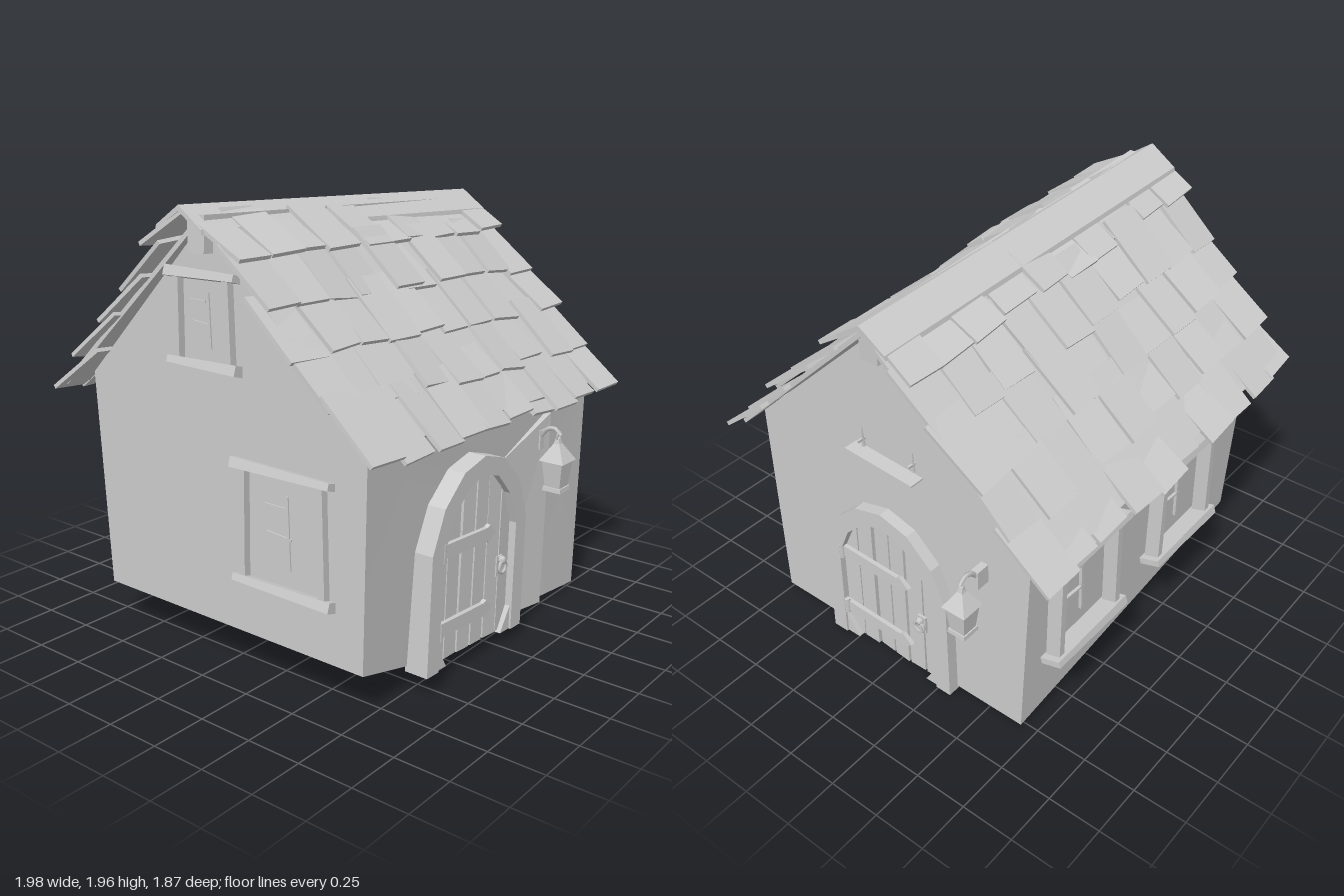
import * as THREE from 'three';
import { mergeVertices } from 'three/addons/utils/BufferGeometryUtils.js';

const stone = new THREE.MeshStandardMaterial({ color: 0xcccccc, side: THREE.DoubleSide });
stone.name = 'plainGrey';

// Small seeded generator: values in -1..1
let seed = 7;
const jitter = () => {
  seed = (seed * 16807) % 2147483647;
  return (seed / 2147483647) * 2 - 1;
};

function add(parent, name, geometry, position = [0, 0, 0], rotation = [0, 0, 0]) {
  const mesh = new THREE.Mesh(geometry, stone);
  mesh.name = name;
  mesh.position.set(...position);
  mesh.rotation.set(...rotation);
  parent.add(mesh);
  return mesh;
}

function group(parent, name, position = [0, 0, 0], rotation = [0, 0, 0]) {
  const g = new THREE.Group();
  g.name = name;
  g.position.set(...position);
  g.rotation.set(...rotation);
  parent.add(g);
  return g;
}

const box = (w, h, d) => new THREE.BoxGeometry(w, h, d);

// Polygons as fans of corners, flat or with blended normals
function polygons(faces, smooth = false) {
  const flat = [];
  for (const f of faces) {
    for (let i = 1; i < f.length - 1; i++) flat.push(...f[0], ...f[i], ...f[i + 1]);
  }
  let g = new THREE.BufferGeometry();
  g.setAttribute('position', new THREE.Float32BufferAttribute(flat, 3));
  if (smooth) g = mergeVertices(g);
  g.computeVertexNormals();
  return g;
}

// Extruded polygon from [x, y] points
function plate(points, depth) {
  const shape = new THREE.Shape(points.map(p => new THREE.Vector2(...p)));
  return new THREE.ExtrudeGeometry(shape, { depth, bevelEnabled: false });
}

function buildWalls(root) {
  const L = -0.88, R = 0.78, ridgeZ = -0.03;
  const base = (x, z) => [x, 0.02 + (R - x) * 0.11, z];
  const top = (x, z, y) => [x, y - x * 0.045, z];
  const fl = base(L, 0.76), fr = base(R, 0.76), bl = base(L, -0.68), br = base(R, -0.68);
  const FL = top(L, 0.78, 1.09), FR = top(R, 0.78, 1.09);
  const BL = top(L, -0.73, 1.14), BR = top(R, -0.73, 1.14);
  const AL = top(L, ridgeZ, 1.85), AR = top(R, ridgeZ, 1.85);
  // Front wall sags around the door, with a fold beside it and a hollow behind the planks
  const doorL = [-0.52, 0.1, 0.74], doorR = [0.1, 0.06, 0.74];
  const archL = [-0.45, 0.8, 0.76], archR = [0.05, 0.8, 0.75];
  const foldBase = [0.42, 0.05, 0.79], foldTop = [0.43, 0.97, 0.8];
  const stepBase = [0.45, 0.05, 0.755], stepTop = [0.45, 0.97, 0.765];
  const inner = base(0.14, 0.17);
  add(root, 'frontWall', polygons([
    [fl, doorL, archL, FL], [FL, archL, archR, stepTop], [FL, stepTop, FR],
    [stepBase, fr, FR, stepTop],
  ], true));
  add(root, 'doorHollow', polygons([
    [doorL, inner, archL], [inner, archR, archL], [inner, doorR, archR],
  ]));
  add(root, 'frontWallFold', polygons([
    [doorR, foldBase, foldTop, archR], [foldBase, stepBase, stepTop, foldTop],
    [archR, foldTop, stepTop],
  ]));
  add(root, 'sideAndBackWalls', polygons([
    [fr, br, BR, AR, FR], [bl, fl, FL, AL, BL], [br, bl, BL, BR],
  ]));
  add(root, 'floor', polygons([
    [inner, fl, bl, br, fr, stepBase], [inner, stepBase, foldBase, doorR], [inner, doorL, fl],
  ]));
}

function buildRoof(root) {
  const roof = group(root, 'roof', [-0.085, 0, 0], [0, 0, -0.048]);
  for (const side of [1, -1]) {
    const half = group(roof, side > 0 ? 'frontSlope' : 'backSlope', [0, 0, -0.02]);
    if (side < 0) half.rotation.y = Math.PI;
    // Thin sheet under the shingles
    const run = 0.83, drop = 0.79, slope = Math.atan2(drop, run);
    add(half, 'roofBoard', box(1.82, 0.02, Math.hypot(run, drop)),
      [0, 1.87 - drop / 2, run / 2], [slope, 0, 0]);
    // Five overlapping rows of uneven shingles, each row set over to keep the gable edge upright
    for (let row = 0; row < 5; row++) {
      const z = 0.24 + row * 0.16, y = 1.735 - row * 0.172;
      const shift = -side * 0.048 * (y - 1.15);
      const length = row === 0 ? 0.28 : 0.33;
      const tilt = row === 0 ? 0.55 : 0.69;
      for (let i = 0; i < 10; i++) {
        const a = tilt + jitter() * 0.06;
        const low = z + jitter() * 0.025;
        const x = shift - 0.855 + i * 0.19 + (i > 0 && i < 9 ? jitter() * 0.03 : 0);
        const shingle = group(half, 'shingle', [x, y + jitter() * 0.015, low], [a, 0, 0]);
        add(shingle, 'shingleBoard', box(0.188 + jitter() * 0.015, 0.018, length),
          [0, 0, -length / 2], [0, jitter() * 0.07, jitter() * 0.08]);
      }
    }
  }
  // Ridge cap, slightly askew, and the beam under it
  const cap = [[-0.13, 1.81], [-0.125, 1.83], [0, 1.915], [0.125, 1.83], [0.13, 1.81], [0, 1.89]];
  add(roof, 'ridgeCap', plate(cap, 1.91).translate(0, 0, -0.955),
    [-0.03, 0, -0.045], [0, Math.PI / 2 - 0.02, 0]);
  add(roof, 'ridgeBeam', box(1.82, 0.15, 0.09), [-0.02, 1.805, -0.025]);
}

function buildDoor(root, name, position, rotation) {
  const door = group(root, name, position, rotation);
  // Arched frame as a ring open at the bottom
  const outer = [[0.36, 0], [0.355, 0.52], [0.28, 0.7], [0.15, 0.82], [0, 0.86]];
  const inner = [[0.28, 0], [0.275, 0.5], [0.21, 0.65], [0.11, 0.75], [0, 0.78]];
  const mirror = pts => pts.slice(0, -1).reverse().map(([x, y]) => [-x, y]);
  const ring = [...outer, ...mirror(outer), ...[...inner, ...mirror(inner)].reverse()];
  add(door, 'doorFrame', plate(ring, 0.11), [0, 0, -0.05]);
  for (const s of [1, -1]) {
    add(door, 'frameFoot', plate([[0, 0], [-0.07 * s, 0], [0, 0.11]], 0.04), [0.28 * s, 0, 0.01]);
  }
  // Planks
  for (let i = 0; i < 6; i++) {
    const x = -0.235 + i * 0.094;
    const h = 0.5 + 0.27 * Math.sqrt(1 - (x / 0.31) ** 2);
    add(door, 'doorPlank', box(0.085, h, 0.03), [x, h / 2 + 0.01, 0.01 + jitter() * 0.008],
      [0, jitter() * 0.08, jitter() * 0.008]);
  }
  // Strap hinges
  const strap = [[0, -0.03], [0.34, -0.03], [0.36, -0.04], [0.41, 0], [0.36, 0.04], [0.34, 0.03], [0, 0.03]];
  for (const y of [0.17, 0.51]) {
    add(door, 'strapHinge', plate(strap, 0.02), [-0.28, y, 0.03], [0, 0, -0.03]);
    add(door, 'hingePin', new THREE.CylinderGeometry(0.014, 0.014, 0.08, 6), [-0.27, y, 0.05]);
  }
  // Handle
  add(door, 'handlePlate', box(0.045, 0.09, 0.012), [0.19, 0.32, 0.033]);
  add(door, 'handleKnob', new THREE.SphereGeometry(0.02, 6, 4), [0.19, 0.35, 0.05]);
  add(door, 'handleRing', new THREE.TorusGeometry(0.028, 0.008, 5, 8), [0.19, 0.32, 0.055]);
}

function buildWindow(root, name, w, h, depth, position, rotation) {
  const win = group(root, name, position, rotation);
  // Wedge-shaped sills
  const long = w / 2 + 0.05;
  const sill = [[-long, -0.022], [long, -0.012], [long, 0.018], [-long, 0.022]];
  add(win, 'topSill', plate(sill, depth), [0, h / 2 - 0.01, 0], [-0.3, 0, 0]);
  add(win, 'bottomSill', plate(sill, depth), [0, -h / 2, 0], [-0.3, 0, Math.PI]);
  for (const s of [1, -1]) {
    add(win, 'jamb', box(0.032, h, depth * 0.7), [s * w / 2, 0, depth * 0.4], [0, 0, s * 0.02]);
  }
  // Slim glazing bars
  add(win, 'uprightBar', box(0.012, h * 0.62, 0.014), [0.02, 0, 0.004], [0, 0, 0.03]);
  add(win, 'upperBar', box(w * 0.3, 0.01, 0.014), [-0.04, h * 0.2, 0.004]);
  add(win, 'lowerBar', box(w * 0.32, 0.01, 0.014), [-0.03, -h * 0.04, 0.004], [0, 0, -0.08]);
}

function buildLantern(root, name, position, rotation) {
  const lantern = group(root, name, position, rotation);
  const square = (top, bottom, h) =>
    new THREE.CylinderGeometry(top * Math.SQRT2, bottom * Math.SQRT2, h, 4)
      .rotateY(Math.PI / 4).toNonIndexed();
  const parts = [
    ['lanternBody', 0.05, 0.036, 0.13, -0.005], ['lanternBase', 0.043, 0.045, 0.02, -0.07],
    ['lanternLid', 0.012, 0.06, 0.08, 0.1], ['lanternFinial', 0.008, 0.014, 0.025, 0.15],
  ];
  for (const [part, t, b, h, y] of parts) {
    const g = square(t, b, h);
    g.computeVertexNormals();
    add(lantern, part, g, [0, y, 0]);
  }
  add(lantern, 'lanternRing', new THREE.TorusGeometry(0.014, 0.005, 4, 8), [0, 0.17, 0]);
  // Bent wall bracket
  const path = new THREE.CatmullRomCurve3([
    [0, 0.14, -0.1], [0, 0.19, -0.06], [0, 0.2, -0.02], [0, 0.175, 0.01],
  ].map(p => new THREE.Vector3(...p)));
  add(lantern, 'bracket', new THREE.TubeGeometry(path, 8, 0.011, 5));
  add(lantern, 'bracketPlate', box(0.035, 0.09, 0.08), [0, 0.14, -0.12]);
}

function buildShelf(root) {
  // Tapered gable shelf with two hooks
  const shelf = group(root, 'gableShelf', [0.77, 1.13, 0.02], [0, Math.PI / 2, 0]);
  add(shelf, 'shelfBoard', plate([[-0.18, -0.025], [0.19, -0.005], [0.19, 0.003], [-0.18, 0.025]], 0.08));
  for (const x of [-0.13, 0.15]) {
    add(shelf, 'hook', new THREE.ConeGeometry(0.012, 0.1, 4), [x, 0.075, 0.02]);
    add(shelf, 'hookArm', box(0.01, 0.012, 0.04), [x, 0.06, 0.03]);
  }
}

export function createModel() {
  const house = new THREE.Group();
  house.name = 'cottage';
  seed = 7;
  const quarter = Math.PI / 2;
  buildWalls(house);
  buildRoof(house);
  buildDoor(house, 'frontDoor', [-0.21, 0.075, 0.785], [0, 0, -0.04]);
  buildDoor(house, 'sideDoor', [0.775, 0.005, 0.04], [0, quarter, 0]);
  buildLantern(house, 'frontLantern', [0.37, 0.72, 0.875], [0, 0, 0]);
  buildLantern(house, 'sideLantern', [0.925, 0.67, -0.49], [0, quarter, 0]);
  for (const x of [0.44, -0.31]) {
    buildWindow(house, 'backWindow', 0.4, 0.5, 0.1, [x, 0.64 - x * 0.04, -0.715], [0, Math.PI, 0]);
  }
  buildWindow(house, 'leftWindow', 0.41, 0.5, 0.05, [-0.875, 0.7, 0.37], [0, -quarter, 0]);
  buildWindow(house, 'leftAtticWindow', 0.28, 0.37, 0.05, [-0.875, 1.5, -0.03], [0, -quarter, 0]);
  buildShelf(house);
  return house;
}
